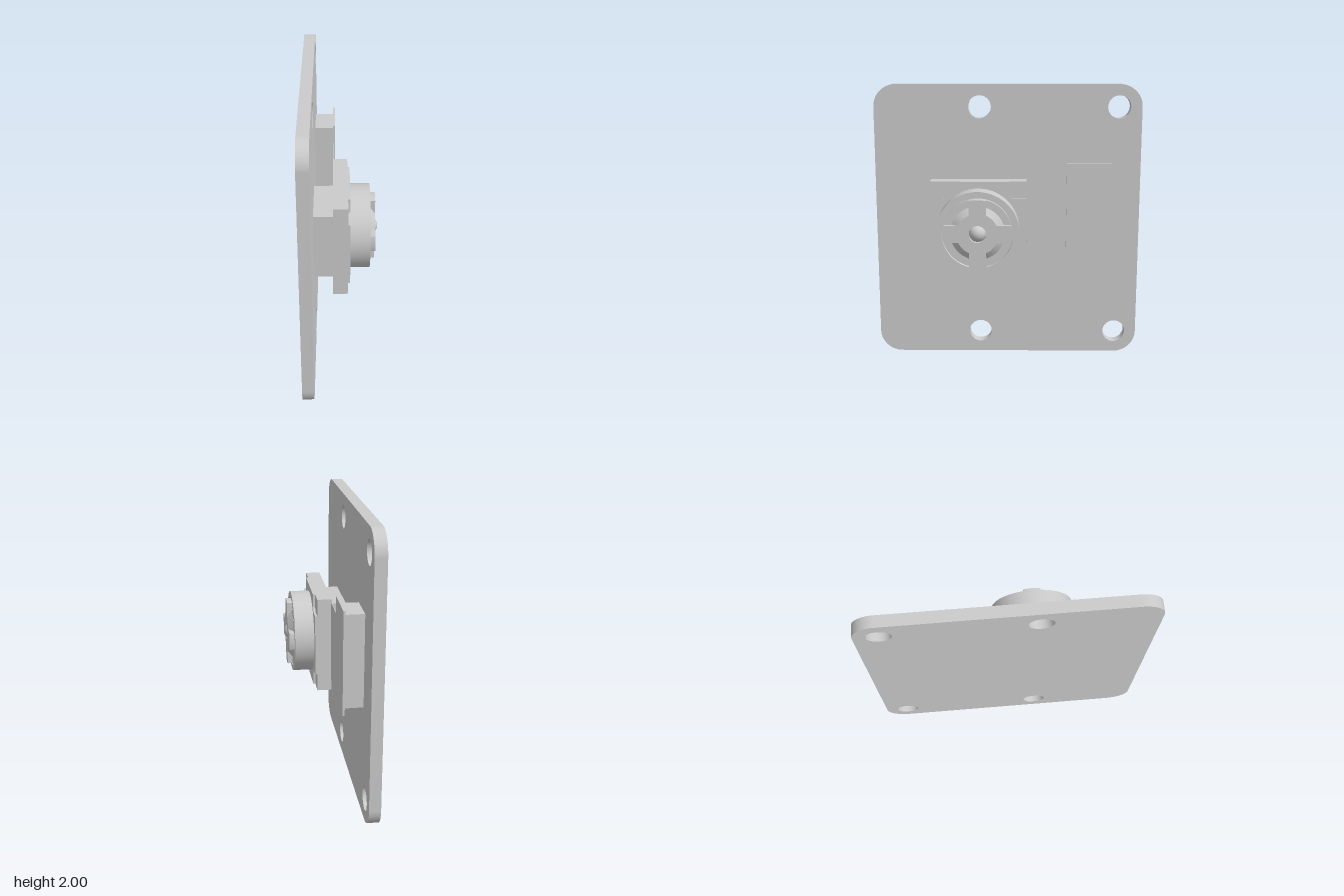
import * as THREE from 'three';
import { toCreasedNormals } from 'three/addons/utils/BufferGeometryUtils.js';

const material = new THREE.MeshStandardMaterial({ color: 0xcccccc });
const LENS_Y = 1.003, LENS_Z = 0.205;

function add(parent, name, geometry) {
  const mesh = new THREE.Mesh(geometry, material);
  mesh.name = name;
  parent.add(mesh);
  return mesh;
}

// Box given by its limits on each axis
function box(parent, name, [x0, x1], [y0, y1], [z0, z1]) {
  const mesh = add(parent, name, new THREE.BoxGeometry(x1 - x0, y1 - y0, z1 - z0));
  mesh.position.set((x0 + x1) / 2, (y0 + y1) / 2, (z0 + z1) / 2);
  return mesh;
}

// Outline drawn in (-z, y), extruded along +x from x0 to x1
function slab(parent, name, shape, x0, x1) {
  const geometry = new THREE.ExtrudeGeometry(shape, { depth: x1 - x0, bevelEnabled: false, curveSegments: 24 });
  geometry.rotateY(Math.PI / 2);
  geometry.translate(x0, 0, 0);
  return add(parent, name, toCreasedNormals(geometry, 0.5));
}

// Profile of [radius, x] turned about the x axis
function turned(parent, name, profile) {
  const geometry = new THREE.LatheGeometry(profile.map(([r, x]) => new THREE.Vector2(r, x)), 72);
  geometry.rotateZ(-Math.PI / 2);
  return add(parent, name, toCreasedNormals(geometry, 0.5));
}

function circle(u, v, r) {
  const path = new THREE.Path();
  path.absarc(u, v, r, 0, Math.PI * 2, true);
  return path;
}

function boardShape() {
  const w = 0.96, r = 0.16, q = Math.PI / 2;
  const s = new THREE.Shape();
  s.absarc(w - r, 2 - r, r, 0, q);
  s.absarc(-w + r, 2 - r, r, q, 2 * q);
  s.absarc(-w + r, r, r, 2 * q, 3 * q);
  s.absarc(w - r, r, r, 3 * q, 4 * q);
  s.closePath();
  for (const u of [-0.203, 0.797])
    for (const v of [0.16, 1.84]) s.holes.push(circle(u, v, 0.082));
  return s;
}

// Square with a rounded notch cut from each corner
function notchedShape(h, i, r) {
  const s = new THREE.Shape();
  for (let k = 0; k < 4; k++) {
    const c = Math.round(Math.cos(k * Math.PI / 2)), n = Math.round(Math.sin(k * Math.PI / 2));
    const p = (u, v) => [c * u - n * v, n * u + c * v];
    if (k === 0) s.moveTo(...p(h, -i));
    else s.lineTo(...p(h, -i));
    s.lineTo(...p(h, i));
    s.lineTo(...p(i + r, i));
    s.quadraticCurveTo(...p(i, i), ...p(i, i + r));
  }
  s.closePath();
  return s;
}

// Disc with four arms and a central hole
function crossShape(inner, outer, halfWidth, hole) {
  const s = new THREE.Shape();
  const a = Math.asin(halfWidth / outer), b = Math.asin(halfWidth / inner);
  for (let k = 0; k < 4; k++) {
    const t = k * Math.PI / 2;
    s.absarc(0, 0, outer, t - a, t + a);
    s.absarc(0, 0, inner, t + b, t + Math.PI / 2 - b);
  }
  s.closePath();
  s.holes.push(circle(0, 0, hole));
  return s;
}

export function createModel() {
  const model = new THREE.Group();
  model.name = 'cameraBoard';

  slab(model, 'circuitBoard', boardShape(), -0.26, -0.18);

  // Ribbon connector
  box(model, 'connectorBlock', [-0.18, -0.05], [0.78, 1.42], [-0.70, -0.46]);
  box(model, 'connectorPlate', [-0.05, -0.036], [0.745, 1.457], [-0.74, -0.42]);
  box(model, 'flexRibbon', [-0.05, -0.046], [0.745, 1.318], [-0.42, -0.135]);

  // Camera module
  box(model, 'mountPad', [-0.18, -0.05], [0.763, 1.243], [0.075, 0.48]);
  const camera = new THREE.Group();
  camera.name = 'cameraModule';
  camera.position.set(0, LENS_Y, LENS_Z);
  model.add(camera);
  box(camera, 'housing', [-0.05, 0.05], [-0.338, 0.338], [-0.338, 0.338]);
  slab(camera, 'housingFace', notchedShape(0.338, 0.217, 0.04), 0.05, 0.065);

  // Lens barrel with a thin groove inside its rim
  turned(camera, 'lensBarrel', [
    [0.29, 0.065], [0.29, 0.2], [0.25, 0.2], [0.25, 0.17],
    [0.24, 0.17], [0.24, 0.2], [0.19, 0.2],
  ]);
  turned(camera, 'lensCone', [[0.19, 0.2], [0.145, 0.235]]);
  slab(camera, 'lensCross', crossShape(0.145, 0.24, 0.06, 0.06), 0.2, 0.235);

  // Glass dome sitting in the central hole
  const dome = add(camera, 'lensDome', new THREE.SphereGeometry(0.06, 32, 20));
  dome.position.x = 0.196;

  return model;
}
